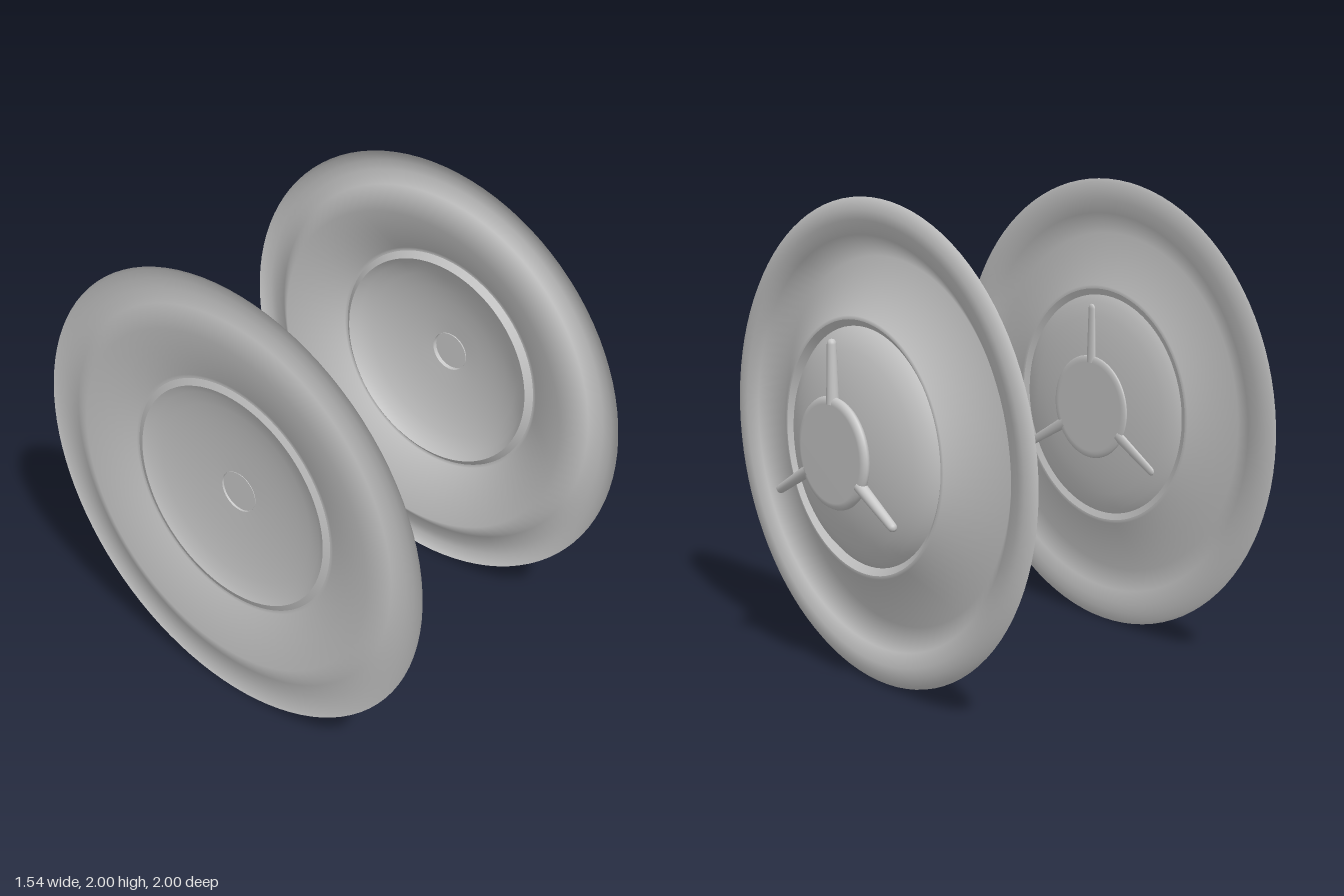
import * as THREE from 'three';

const SEGMENTS = 96;

// Revolve [radius, height] points around the wheel axis
function revolve(name, points, material, segments = SEGMENTS) {
  const profile = points.map(([r, h]) => new THREE.Vector2(r, h));
  const mesh = new THREE.Mesh(new THREE.LatheGeometry(profile, segments), material);
  mesh.name = name;
  return mesh;
}

// One cover with its axis along local y; heights are measured from its back
function createCover(name, material) {
  const cover = new THREE.Group();
  cover.name = name;

  // Outer lip, valley and raised cone ending in a narrow flat crown
  cover.add(revolve('dishRing', [
    [1.0, 0.075], [0.985, 0.088], [0.95, 0.1], [0.91, 0.097], [0.85, 0.078],
    [0.76, 0.0], [0.535, 0.146], [0.525, 0.148], [0.52, 0.148],
  ], material));

  // Short wall stepping down inside the ring
  cover.add(revolve('innerWall', [[0.52, 0.148], [0.492, 0.125]], material));

  // Dome
  cover.add(revolve('dome', [
    [0.492, 0.125], [0.46, 0.157], [0.4, 0.185], [0.33, 0.206], [0.26, 0.221],
    [0.18, 0.233], [0.09, 0.241],
  ], material));

  // Hollow stem joining the dome to the cap
  cover.add(revolve('stem', [[0.09, 0.236], [0.09, 0.262]], material, 40));

  // Flat cap with a rounded edge
  cover.add(revolve('cap', [
    [0, 0.256], [0.2, 0.256], [0.212, 0.257], [0.225, 0.264], [0.23, 0.274],
    [0.23, 0.28], [0.225, 0.29], [0.212, 0.296], [0.2, 0.297], [0, 0.297],
  ], material, 64));

  // Three tapered prongs with rounded tips
  for (let i = 0; i < 3; i++) {
    const arm = new THREE.Group();
    arm.name = 'prong' + (i + 1);
    arm.rotation.y = (i * Math.PI * 2) / 3;
    const prong = revolve('prongRod', [
      [0.026, 0.2], [0.019, 0.44], [0.017, 0.45], [0.011, 0.458], [0, 0.461],
    ], material, 20);
    prong.rotation.z = Math.PI / 2;
    prong.position.y = 0.277;
    prong.scale.z = 1;
    arm.add(prong);
    cover.add(arm);
  }

  cover.rotation.z = -Math.PI / 2; // axis points to +x
  return cover;
}

export function createModel() {
  const model = new THREE.Group();
  model.name = 'wheelCovers';

  const metal = new THREE.MeshStandardMaterial({ color: 0xc8c8c8, side: THREE.DoubleSide });
  metal.name = 'light grey metal';

  // Deep cover on the left, shallow cover on the right
  for (const [name, x, depth] of [['deepCover', 0.472, 1], ['shallowCover', -0.77, 0.468]]) {
    const cover = createCover(name, metal);
    cover.position.set(x, 1, 0);
    cover.scale.y = depth;
    model.add(cover);
  }
  return model;
}
